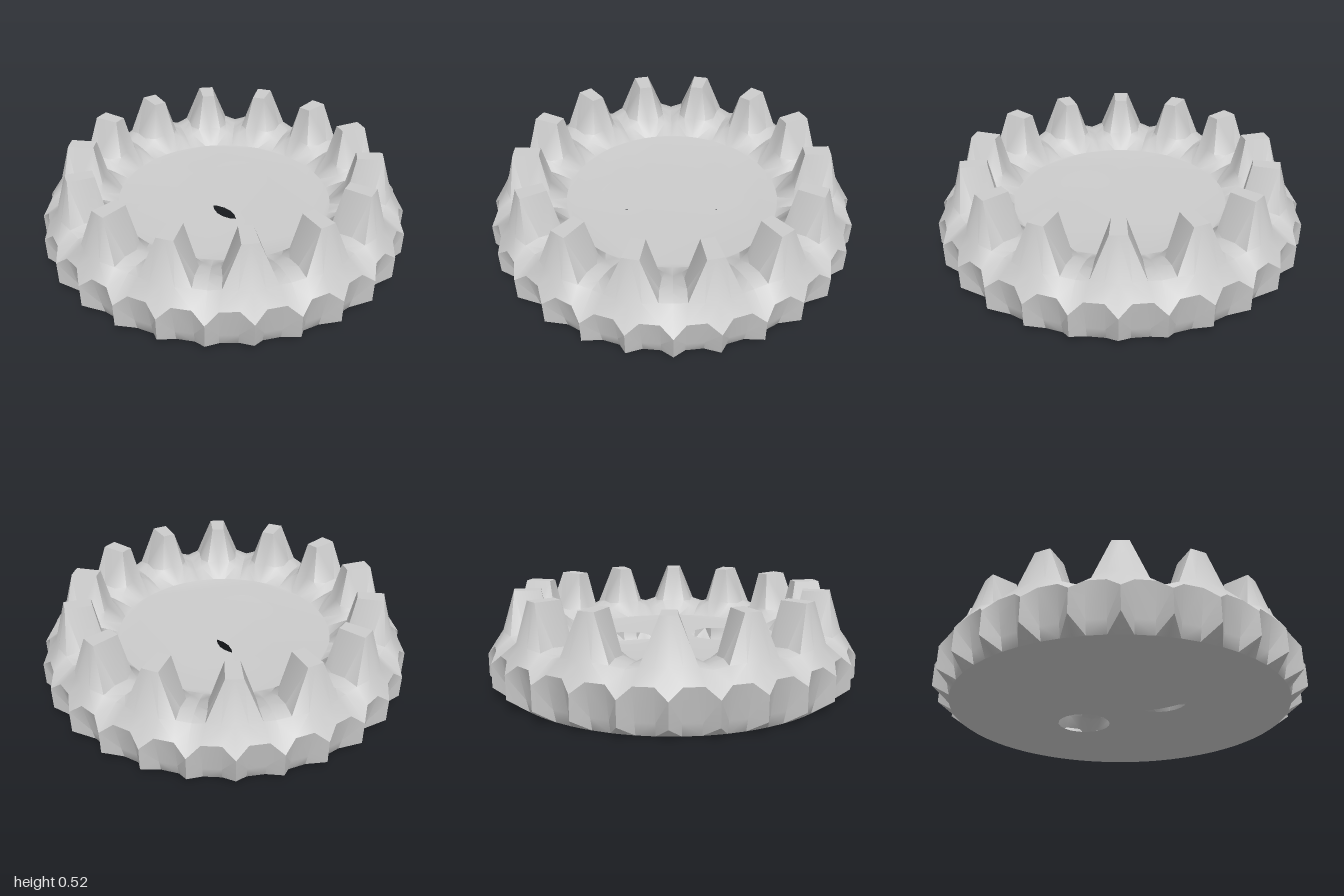
import * as THREE from 'three';
import { mergeGeometries, toCreasedNormals } from 'three/addons/utils/BufferGeometryUtils.js';

const TEETH = 14;
const HALF = Math.PI / TEETH;
const BASE_R = 0.91, FLOOR_R = 0.59, FLOOR_Y = 0.236;
const HOLE_R = 0.145, HOLE_Z = 0.26;

// Half a tooth pitch per ring: [radius, height, sideways angle in half pitches],
// at the tooth centre, tooth edge, tooth foot and valley.
const RINGS = [
  [[BASE_R, 0, 0], [BASE_R, 0, 0.28], [BASE_R, 0, 0.72], [BASE_R, 0, 1]],              // base edge
  [[1, 0.065, 0], [0.926, 0.065, 0.28], [0.926, 0.065, 0.72], [1, 0.065, 1]],          // lower scallop
  [[1, 0.188, 0], [0.962, 0.24, 0.28], [0.962, 0.24, 0.72], [1, 0.188, 1]],            // upper scallop
  [[0.915, 0.315, 0], [0.91, 0.315, 0.3], [0.885, 0.302, 0.66], [0.87, 0.285, 1]],     // outer tooth foot
  [[0.85, 0.525, 0], [0.85, 0.525, 0.22], [0.81, 0.315, 0.65], [0.81, 0.287, 1]],      // outer top edge
  [[0.71, 0.525, 0], [0.71, 0.525, 0.22], [0.735, 0.31, 0.68], [0.74, 0.281, 1]],      // inner top edge
  [[0.675, 0.32, 0], [0.675, 0.315, 0.45], [0.675, 0.285, 0.74], [0.68, 0.266, 1]],    // inner tooth foot
  [[FLOOR_R, FLOOR_Y, 0], [FLOOR_R, FLOOR_Y, 0.28], [FLOOR_R, FLOOR_Y, 0.72], [FLOOR_R, FLOOR_Y, 1]],
];

// Columns of one pitch, mirrored about the valley
function columnPoint(ring, k) {
  const j = k % 6, tooth = Math.floor(k / 6);
  const [r, y, f] = ring[j <= 3 ? j : 6 - j];
  const a = HALF * (2 * tooth + (j <= 3 ? f : 2 - f));
  return [r * Math.sin(a), y, r * Math.cos(a)];
}

// Scalloped rim, teeth and inner slope
function toothedRing() {
  const n = TEETH * 6, pos = [], index = [];
  for (const ring of RINGS) {
    for (let k = 0; k < n; k++) pos.push(...columnPoint(ring, k));
  }
  for (let i = 0; i < RINGS.length - 1; i++) {
    for (let k = 0; k < n; k++) {
      const a = i * n + k, b = i * n + (k + 1) % n, c = b + n, d = a + n;
      // Mirror the diagonals so each scallop and tooth is symmetric
      const left = k % 3 === 0 || (k % 3 === 1 && k % 6 < 3);
      if (left) index.push(a, b, d, b, c, d);
      else index.push(a, b, c, a, c, d);
    }
  }
  const geo = new THREE.BufferGeometry();
  geo.setAttribute('position', new THREE.Float32BufferAttribute(pos, 3));
  geo.setIndex(index);
  return geo;
}

// Flat disc with two round holes, meeting the given ring's columns
function disc(ring, y, up) {
  const pts = [];
  for (let k = 0; k < TEETH * 6; k++) {
    const [x, , z] = columnPoint(ring, k);
    pts.push(new THREE.Vector2(x, z));
  }
  const shape = new THREE.Shape(pts);
  for (const s of [-1, 1]) {
    shape.holes.push(new THREE.Path().absarc(0, s * HOLE_Z, HOLE_R, 0, Math.PI * 2));
  }
  const geo = new THREE.ShapeGeometry(shape, 10);
  geo.rotateX(up ? -Math.PI / 2 : Math.PI / 2);
  geo.translate(0, y, 0);
  geo.deleteAttribute('uv');
  geo.deleteAttribute('normal');
  return geo;
}

export function createModel() {
  const group = new THREE.Group();
  // One hollow shell, so the slopes blend smoothly into floor and underside
  const shell = mergeGeometries([
    toothedRing(),
    disc(RINGS[RINGS.length - 1], FLOOR_Y, true),
    disc(RINGS[0], 0, false),
  ]);
  const material = new THREE.MeshStandardMaterial({ color: 0xcccccc, side: THREE.DoubleSide });
  const mesh = new THREE.Mesh(toCreasedNormals(shell, 0.72), material);
  mesh.name = 'toothedDish';
  group.add(mesh);
  return group;
}
